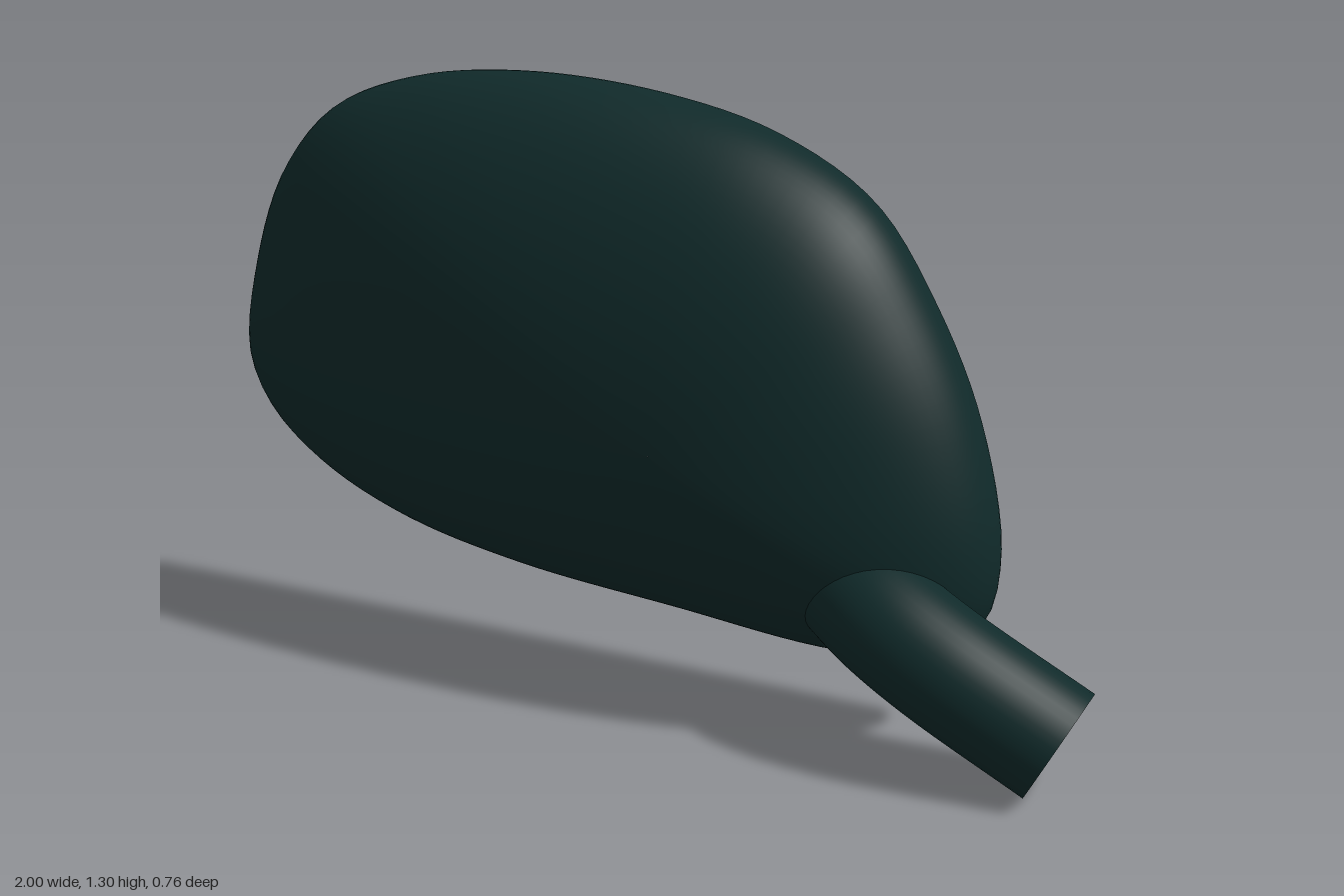
import * as THREE from 'three';

const housingPaint = new THREE.MeshStandardMaterial({ color: 0x102a2a });
housingPaint.name = 'dark green housing';
const glassGrey = new THREE.MeshStandardMaterial({ color: 0xb2b4b2 });
glassGrey.name = 'grey glass';

// Housing outline, clockwise as seen from the front
const OUTLINE = [
  [-1, 0.62], [-0.97, 0.82], [-0.885, 1.04], [-0.75, 1.19], [-0.55, 1.27], [-0.27, 1.3],
  [0.05, 1.275], [0.3, 1.21], [0.5, 1.09], [0.63, 0.9], [0.73, 0.67], [0.78, 0.4],
  [0.75, 0.25], [0.65, 0.17], [0.45, 0.15], [0.1, 0.18], [-0.3, 0.22], [-0.6, 0.285],
  [-0.82, 0.385], [-0.95, 0.5],
];
const CENTRE = { x: 0.1, y: 0.6 };
const SEGMENTS = 112;

const curve = new THREE.CatmullRomCurve3(
  OUTLINE.map(([x, y]) => new THREE.Vector3(x, y, 0)), true);

// Back plane of the mirror, turned sideways and tipped slightly upward
const planeZ = (x, y) => -0.385 + 0.2147 * (x + 1) + 0.04 * (y - 0.6);

// One loop: outline moved inward, scaled about the centre, set forward of the plane
function ring(inset, scale, depth) {
  const points = [];
  for (let j = 0; j < SEGMENTS; j++) {
    const p = curve.getPointAt(j / SEGMENTS);
    const t = curve.getTangentAt(j / SEGMENTS);
    const x = CENTRE.x + (p.x + t.y * inset - CENTRE.x) * scale;
    const y = CENTRE.y + (p.y - t.x * inset - CENTRE.y) * scale;
    points.push([x, y, planeZ(x, y) + depth]);
  }
  return points;
}

// Skin a stack of closed loops
function loft(rings) {
  const index = [];
  for (let i = 0; i < rings.length - 1; i++) {
    for (let j = 0; j < SEGMENTS; j++) {
      const k = (j + 1) % SEGMENTS;
      const a = i * SEGMENTS + j, b = a + SEGMENTS;
      const c = i * SEGMENTS + k, d = c + SEGMENTS;
      index.push(a, b, c, b, d, c);
    }
  }
  const geometry = new THREE.BufferGeometry();
  geometry.setAttribute('position', new THREE.Float32BufferAttribute(rings.flat(2), 3));
  geometry.setIndex(index);
  geometry.computeVertexNormals();
  return geometry;
}

function addMesh(parent, name, geometry, material) {
  const mesh = new THREE.Mesh(geometry, material);
  mesh.name = name;
  parent.add(mesh);
  return mesh;
}

export function createModel() {
  const model = new THREE.Group();
  model.name = 'wingMirror';

  // Housing: recess wall, rounded lip, then an ellipsoidal dome
  const shell = [
    [0.045, 0.04], [0.043, 0.015], [0.037, 0.004], [0.028, 0],
    [0.016, 0.002], [0.006, 0.012], [0.001, 0.025],
  ].map(([inset, depth]) => ring(inset, 1, depth));
  const DOME_STEPS = 28;
  for (let i = 0; i <= DOME_STEPS; i++) {
    const angle = (i / DOME_STEPS) * Math.PI / 2;
    shell.push(ring(0, Math.max(Math.cos(angle), 0.0005), 0.04 + 0.32 * Math.sin(angle)));
  }
  addMesh(model, 'housing', loft(shell), housingPaint);

  // Slightly convex glass set inside the lip
  const glass = [];
  for (let i = 0; i <= 8; i++) {
    const s = Math.max(i / 8, 0.0005);
    glass.push(ring(0.044, s, 0.002 + 0.012 * s * s));
  }
  addMesh(model, 'mirrorGlass', loft(glass), glassGrey);

  // Bent mounting arm
  const armPath = new THREE.CatmullRomCurve3([
    new THREE.Vector3(0.46, 0.34, 0.05),
    new THREE.Vector3(0.58, 0.295, 0.175),
    new THREE.Vector3(0.7, 0.235, 0.23),
    new THREE.Vector3(0.935, 0.105, 0.26),
  ]);
  const arm = new THREE.Group();
  arm.name = 'mountingArm';
  addMesh(arm, 'armTube', new THREE.TubeGeometry(armPath, 32, 0.122, 40), housingPaint);

  // Stepped socket in the open end of the arm
  const steps = [[0.122, 0], [0.09, 0], [0.09, -0.1], [0.055, -0.1], [0.055, -0.18], [0, -0.18]];
  for (let i = 0; i < steps.length - 1; i++) {
    const profile = [steps[i], steps[i + 1]].map(([r, y]) => new THREE.Vector2(r, y));
    const socket = addMesh(arm, 'armSocket', new THREE.LatheGeometry(profile, 40), housingPaint);
    socket.position.copy(armPath.getPoint(1));
    socket.quaternion.setFromUnitVectors(new THREE.Vector3(0, 1, 0), armPath.getTangent(1));
  }
  model.add(arm);

  return model;
}
